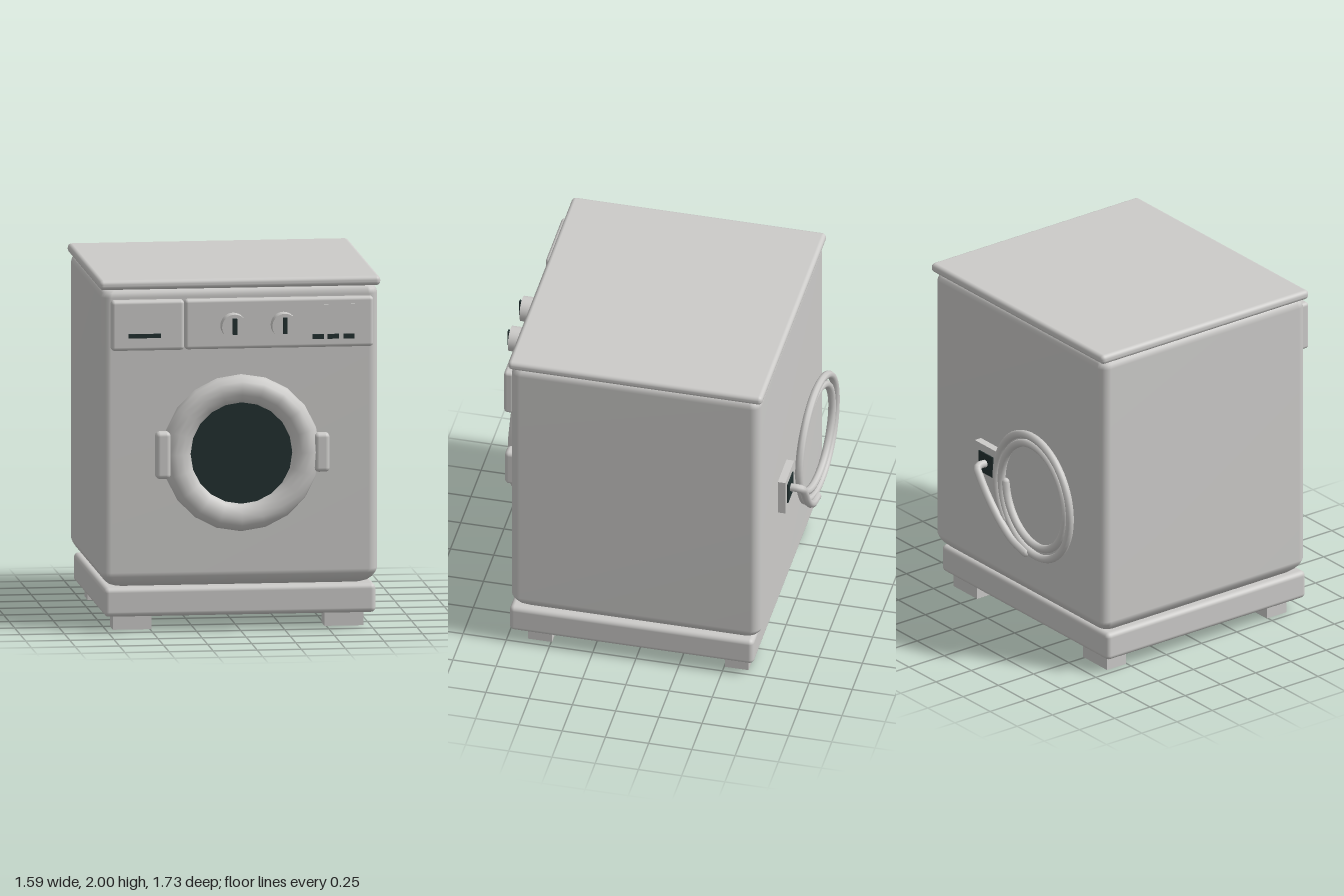
import * as THREE from 'three';
import { RoundedBoxGeometry } from 'three/addons/geometries/RoundedBoxGeometry.js';

export function createModel() {
  const group = new THREE.Group();
  const enamel = new THREE.MeshStandardMaterial({ color: 0xcccbc9 });
  enamel.name = 'enamelGrey';
  const dark = new THREE.MeshStandardMaterial({ color: 0x223030 });
  dark.name = 'darkGlass';

  const add = (name, geometry, material = enamel) => {
    const mesh = new THREE.Mesh(geometry, material);
    mesh.name = name;
    group.add(mesh);
    return mesh;
  };

  // Boxes given by their limits on each axis; a radius rounds the edges
  const box = (name, [x0, x1], [y0, y1], [z0, z1], radius = 0, material = enamel) => {
    const size = [x1 - x0, y1 - y0, z1 - z0];
    const geometry = radius
      ? new RoundedBoxGeometry(...size, 3, radius)
      : new THREE.BoxGeometry(...size);
    geometry.translate((x0 + x1) / 2, (y0 + y1) / 2, (z0 + z1) / 2);
    return add(name, geometry, material);
  };

  // Cylinders that point forwards
  const disc = (name, x, y, z0, z1, radius, material = enamel, sides = 32) => {
    const geometry = new THREE.CylinderGeometry(radius, radius, z1 - z0, sides);
    geometry.rotateX(Math.PI / 2).translate(x, y, (z0 + z1) / 2);
    return add(name, geometry, material);
  };

  // Rounded-rectangle loops stacked upwards: each level is [y, inset]
  const loft = (halfX, halfZ, radius, levels) => {
    const positions = [], index = [], steps = 5, n = 4 * (steps + 1);
    for (const [y, inset] of levels) {
      for (let corner = 0; corner < 4; corner++) {
        const sx = corner === 0 || corner === 3 ? 1 : -1;
        const sz = corner < 2 ? 1 : -1;
        for (let i = 0; i <= steps; i++) {
          const a = (corner + i / steps) * Math.PI / 2;
          positions.push(
            sx * (halfX - inset - radius) + radius * Math.cos(a), y,
            sz * (halfZ - inset - radius) + radius * Math.sin(a));
        }
      }
    }
    for (let l = 0; l < levels.length - 1; l++) {
      for (let i = 0; i < n; i++) {
        const a = l * n + i, b = l * n + (i + 1) % n;
        index.push(a, a + n, b, b, a + n, b + n);
      }
    }
    const geometry = new THREE.BufferGeometry();
    geometry.setAttribute('position', new THREE.Float32BufferAttribute(positions, 3));
    geometry.setIndex(index);
    geometry.computeVertexNormals();
    return geometry;
  };

  // Cabinet with a softly tucked-in lower edge
  const cabinet = add('cabinet', loft(0.785, 0.722, 0.055, [
    [0.25, 0.62], [0.25, 0.08], [0.262, 0.05], [0.285, 0.025], [0.31, 0.009], [0.335, 0],
    [1.90, 0], [1.925, 0.006], [1.94, 0.018], [1.948, 0.04], [1.948, 0.62]]));
  cabinet.position.z = -0.002;

  // Lid, plinth and feet
  box('lid', [-0.797, 0.797], [1.945, 2], [-0.738, 0.732], 0.024);
  box('plinth', [-0.77, 0.77], [0.085, 0.25], [-0.682, 0.73], 0.028);
  for (const [x0, x1] of [[-0.71, -0.49], [0.49, 0.71]]) {
    box('frontFoot', [x0, x1], [0, 0.1], [0.495, 0.635]);
    box('rearFoot', [x0, x1], [0, 0.1], [-0.64, -0.505]);
  }

  // Detergent drawer and control panel
  box('detergentDrawer', [-0.735, -0.322], [1.605, 1.89], [0.705, 0.778], 0.02);
  box('drawerSlot', [-0.64, -0.457], [1.678, 1.702], [0.775, 0.784], 0, dark);
  box('controlPanel', [-0.318, 0.752], [1.605, 1.89], [0.705, 0.766], 0.02);
  box('display', [0.385, 0.655], [1.72, 1.85], [0.762, 0.769]);
  for (const x of [0.437, 0.523, 0.612]) {
    box('button', [x - 0.032, x + 0.032], [1.654, 1.681], [0.765, 0.774], 0, dark);
  }
  for (const x of [-0.045, 0.24]) {
    disc('knob', x, 1.74, 0.755, 0.845, 0.072);
    box('knobPointer', [x - 0.012, x + 0.012], [1.7, 1.79], [0.84, 0.862], 0, dark);
  }

  // Door: gasket, window and rounded ring
  const doorY = 1.015;
  disc('doorGasket', 0, doorY, 0.71, 0.75, 0.38, dark);
  disc('doorWindow', 0, doorY, 0.74, 0.785, 0.295, dark);
  const profile = [
    [0.29, 0.745], [0.405, 0.745], [0.436, 0.753], [0.447, 0.768], [0.437, 0.795],
    [0.41, 0.822], [0.375, 0.832], [0.335, 0.825], [0.302, 0.805], [0.285, 0.78],
    [0.285, 0.745]].map(([r, z]) => new THREE.Vector2(r, z));
  const ring = new THREE.LatheGeometry(profile, 20).rotateX(Math.PI / 2);
  add('doorRing', ring).position.y = doorY;

  // Hinge and handle at the sides of the door
  box('doorHandle', [-0.49, -0.405], [0.88, 1.148], [0.76, 0.838], 0.025);
  box('doorHinge', [0.412, 0.498], [0.902, 1.125], [0.75, 0.822], 0.025);

  // Rear socket
  box('socketPlate', [0.13, 0.345], [0.86, 1.075], [-0.768, -0.715]);
  box('socketRecess', [0.172, 0.303], [0.905, 1.03], [-0.775, -0.766], 0, dark);

  // Rear hose: closed-off tubes along smooth curves
  const hose = (name, points, segments, radius) => {
    const curve = new THREE.CatmullRomCurve3(points);
    add(name, new THREE.TubeGeometry(curve, segments, radius, 8));
    for (const t of [0, 1]) {
      const end = add(name + 'End', new THREE.SphereGeometry(radius, 8, 6));
      end.position.copy(curve.getPoint(t));
    }
  };

  // Two-turn coil, winding outwards
  const coil = [];
  for (let i = 0; i <= 64; i++) {
    const t = i / 64, a = -0.1 - t * Math.PI * 4.2;
    const r = 0.308 + 0.056 * THREE.MathUtils.smoothstep(t, 0.35, 0.62);
    const z = -0.797 - 0.02 * t + 0.022 * Math.cos(a);
    coil.push(new THREE.Vector3(-0.255 + r * Math.cos(a), 0.957 + r * Math.sin(a), z));
  }
  hose('hoseCoil', coil, 128, 0.023);

  // Lead from the socket down to the bottom of the coil
  hose('hoseLead', [
    [0.24, 0.97, -0.765], [0.24, 0.97, -0.815], [0.232, 0.962, -0.836], [0.2, 0.92, -0.842],
    [0.13, 0.82, -0.838], [0.03, 0.71, -0.832], [-0.08, 0.63, -0.828], [-0.2, 0.59, -0.825],
  ].map(p => new THREE.Vector3(...p)), 48, 0.023);

  return group;
}
